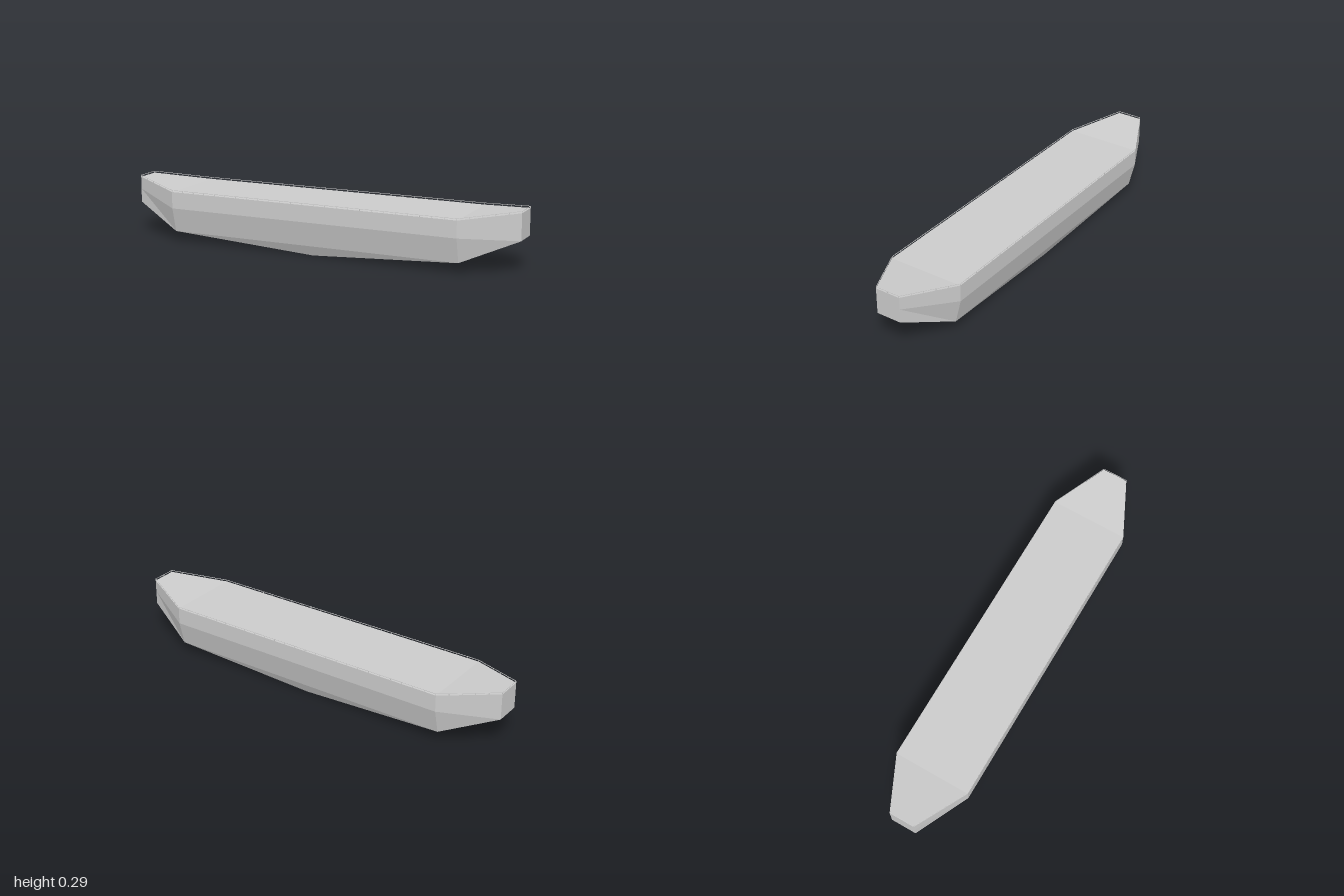
import * as THREE from 'three';

const material = new THREE.MeshStandardMaterial({ color: 0xcccccc, flatShading: true });

// Half cross-section of the hull, as [z, y] from deck edge to keel edge
const END = [[0.063, 0.285], [0.063, 0.225], [0.063, 0.157], [0.063, 0.157]];
const SHOULDER = [[0.19, 0.252], [0.19, 0.17], [0.16, 0.05], [0.16, 0.05]];
const MIDDLE = [[0.19, 0.252], [0.19, 0.17], [0.16, 0.05], [0.135, 0]];
const STATIONS = [[-1, END], [-0.74, SHOULDER], [0, MIDDLE], [0.74, SHOULDER], [1, END]];

function hullGeometry() {
  // Mirror each half section into a closed ring
  const rings = STATIONS.map(([x, half]) => {
    const left = half.map(([z, y]) => new THREE.Vector3(x, y, z));
    const right = half.map(([z, y]) => new THREE.Vector3(x, y, -z)).reverse();
    return [...left, ...right];
  });
  const pos = [];
  const tri = (a, b, c) => {
    const area = b.clone().sub(a).cross(c.clone().sub(a)).length();
    if (area > 1e-7) for (const p of [a, b, c]) pos.push(p.x, p.y, p.z);
  };
  for (let i = 0; i < rings.length - 1; i++) {
    const r = rings[i], s = rings[i + 1], n = r.length;
    for (let j = 0; j < n; j++) {
      const k = (j + 1) % n;
      tri(r[j], r[k], s[k]);
      tri(r[j], s[k], s[j]);
    }
  }
  // Flat transoms
  const first = rings[0], last = rings[rings.length - 1];
  for (let j = 1; j < first.length - 1; j++) {
    tri(first[0], first[j + 1], first[j]);
    tri(last[0], last[j], last[j + 1]);
  }
  const g = new THREE.BufferGeometry();
  g.setAttribute('position', new THREE.Float32BufferAttribute(pos, 3));
  g.computeVertexNormals();
  return g;
}

// Thin square bar between two points
function bar(name, a, b, t) {
  const mesh = new THREE.Mesh(new THREE.BoxGeometry(t, t, a.distanceTo(b) + t * 0.5), material);
  mesh.position.copy(a).add(b).multiplyScalar(0.5);
  mesh.lookAt(b);
  mesh.name = name;
  return mesh;
}

function railing() {
  const group = new THREE.Group();
  group.name = 'railing';
  const inset = 0.001, height = 0.0085;
  const edge = [
    [-1, 0.285, 0.063], [-0.74, 0.252, 0.19], [0.74, 0.252, 0.19], [1, 0.285, 0.063],
    [1, 0.285, -0.063], [0.74, 0.252, -0.19], [-0.74, 0.252, -0.19], [-1, 0.285, -0.063],
  ].map(([x, y, z]) => new THREE.Vector3(x - Math.sign(x) * inset, y, z - Math.sign(z) * inset));
  const spans = [5, 25, 5, 2, 5, 25, 5, 2];
  const up = new THREE.Vector3(0, height, 0);
  edge.forEach((a, i) => {
    const b = edge[(i + 1) % edge.length];
    group.add(bar('handrail', a.clone().add(up), b.clone().add(up), 0.002));
    for (let k = 0; k < spans[i]; k++) {
      const foot = a.clone().lerp(b, k / spans[i]);
      group.add(bar('railPost', foot, foot.clone().add(up), 0.002));
    }
  });
  return group;
}

export function createModel() {
  const model = new THREE.Group();
  model.name = 'barge';
  const hull = new THREE.Mesh(hullGeometry(), material);
  hull.name = 'hull';
  model.add(hull, railing());
  return model;
}
